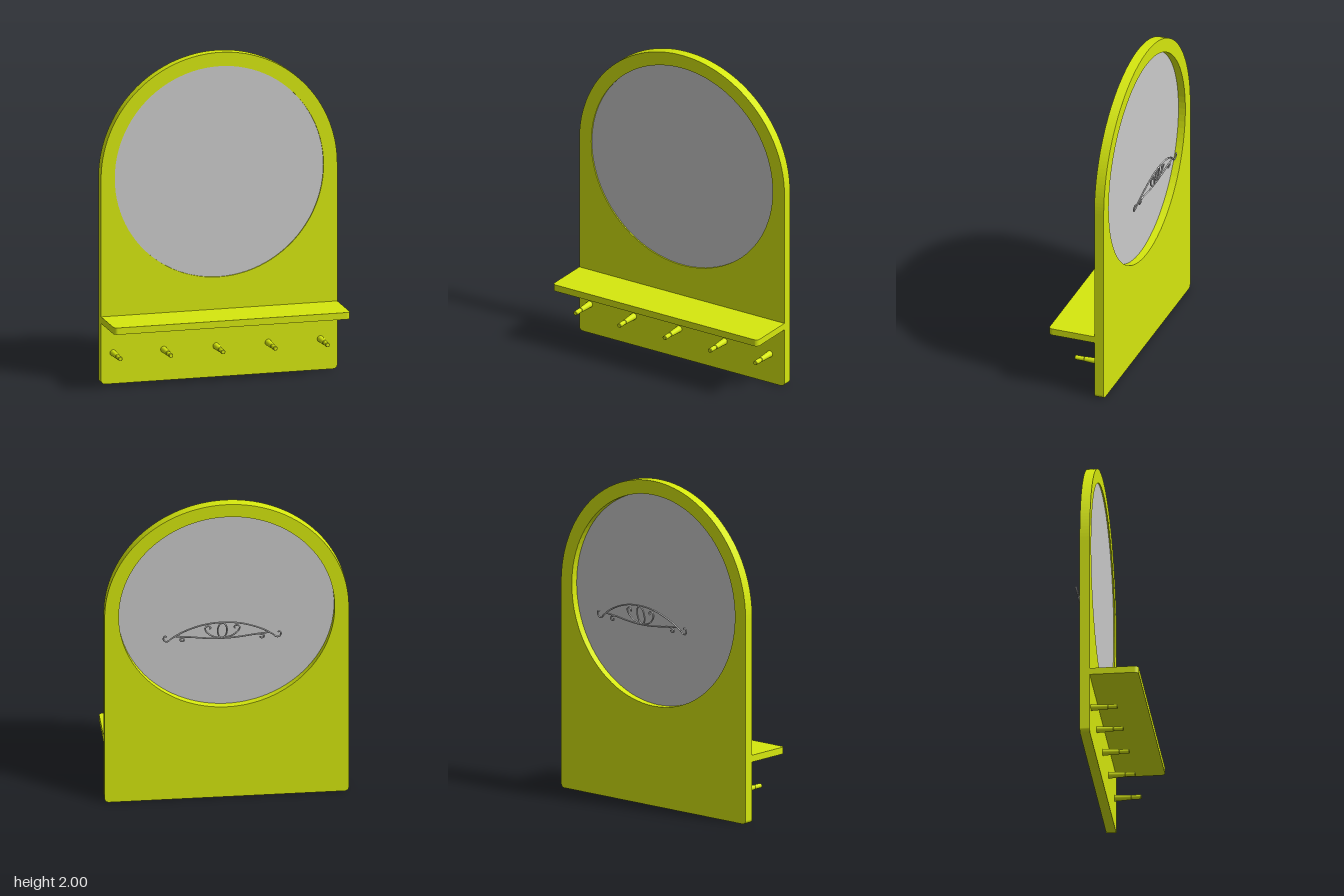
import * as THREE from 'three';

const paint = new THREE.MeshStandardMaterial({ color: 0xd6e80e });
const grey = new THREE.MeshStandardMaterial({ color: 0xcccccc });

const HALF = 0.735, ARCH_Y = 1.265, GLASS_R = 0.65;
const BACK = -0.133, FRONT = -0.073;

function add(parent, name, geometry, material) {
  const mesh = new THREE.Mesh(geometry, material);
  mesh.name = name;
  parent.add(mesh);
  return mesh;
}

// Arched board with rounded bottom corners and a round opening
function boardGeometry() {
  const r = 0.025;
  const s = new THREE.Shape();
  s.moveTo(-HALF + r, 0);
  s.lineTo(HALF - r, 0);
  s.absarc(HALF - r, r, r, -Math.PI / 2, 0, false);
  s.lineTo(HALF, ARCH_Y);
  s.absarc(0, ARCH_Y, HALF, 0, Math.PI, false);
  s.lineTo(-HALF, r);
  s.absarc(-HALF + r, r, r, Math.PI, Math.PI * 1.5, false);
  const hole = new THREE.Path();
  hole.absarc(0, ARCH_Y, GLASS_R, 0, Math.PI * 2, true);
  s.holes.push(hole);
  return new THREE.ExtrudeGeometry(s, { depth: FRONT - BACK, bevelEnabled: false, curveSegments: 48 });
}

// Shelf outline seen from above, with rounded front corners
function shelfGeometry() {
  const r = 0.025, d = 0.294;
  const s = new THREE.Shape();
  s.moveTo(-HALF, 0);
  s.lineTo(-HALF, -d + r);
  s.absarc(-HALF + r, -d + r, r, Math.PI, Math.PI * 1.5, false);
  s.lineTo(HALF - r, -d);
  s.absarc(HALF - r, -d + r, r, -Math.PI / 2, 0, false);
  s.lineTo(HALF, 0);
  return new THREE.ExtrudeGeometry(s, { depth: 0.042, bevelEnabled: false, curveSegments: 8 }).rotateX(-Math.PI / 2);
}

// Turned peg: tapered shank, narrow neck, slim tip
function pegGeometry() {
  const profile = [[0, 0], [0.02, 0], [0.015, 0.1], [0.012, 0.103], [0.014, 0.106], [0.014, 0.158], [0.011, 0.162], [0, 0.162]]
    .map(([x, y]) => new THREE.Vector2(x, y));
  // Repeating the corner points keeps the edges crisp
  const crisp = profile.flatMap((p, i) => (i > 0 && i < profile.length - 1 ? [p, p.clone()] : [p]));
  return new THREE.LatheGeometry(crisp, 20).rotateX(Math.PI / 2);
}

// Wrought scrollwork drawn flat, half of it mirrored
function createScrollwork() {
  const g = new THREE.Group();
  g.name = 'scrollwork';
  const wire = (name, pts, side = 1, closed = false) => {
    const curve = new THREE.CatmullRomCurve3(pts.map(([x, y]) => new THREE.Vector3(x * side, y, 0)), closed);
    add(g, name, new THREE.TubeGeometry(curve, pts.length * 8, 0.005, 8, closed), grey);
  };
  wire('upperArc', [[-0.31, 0.025], [-0.24, 0.075], [-0.12, 0.125], [0, 0.14], [0.12, 0.125], [0.24, 0.075], [0.31, 0.025]]);
  wire('lowerArc', [[-0.285, 0.045], [-0.2, 0.035], [-0.1, 0.02], [0, 0.014], [0.1, 0.02], [0.2, 0.035], [0.285, 0.045]]);
  const oval = [];
  for (let i = 0; i < 16; i++) {
    const a = (i / 16) * Math.PI * 2;
    oval.push([0.028 * Math.cos(a), 0.077 + 0.058 * Math.sin(a)]);
  }
  wire('centreOval', oval, 1, true);
  for (const side of [-1, 1]) {
    wire('endHook', [[0.31, 0.025], [0.325, 0.008], [0.343, 0.008], [0.354, 0.028], [0.346, 0.048], [0.334, 0.044]], side);
    wire('lowerCurl', [[0.19, 0.036], [0.225, 0.034], [0.252, 0.022], [0.248, 0.006], [0.231, 0.006], [0.229, 0.02]], side);
    wire('innerCurl', [[0.015, 0.018], [0.06, 0.034], [0.096, 0.07], [0.104, 0.1], [0.088, 0.114], [0.071, 0.103], [0.077, 0.09]], side);
  }
  return g;
}

export function createModel() {
  const root = new THREE.Group();
  root.name = 'shelfMirror';

  // Board, glass, shelf and pegs share a very slight turn
  const body = new THREE.Group();
  body.name = 'body';
  body.rotation.y = 0.0045;
  root.add(body);

  add(body, 'board', boardGeometry(), paint).position.z = BACK;

  const glass = add(body, 'mirrorGlass', new THREE.CylinderGeometry(GLASS_R, GLASS_R, 0.008, 96), grey);
  glass.rotation.x = Math.PI / 2;
  glass.position.set(0, ARCH_Y, FRONT - 0.012);

  add(body, 'shelf', shelfGeometry(), paint).position.set(0, 0.375, FRONT);

  const peg = pegGeometry();
  for (const x of [-0.66, -0.345, -0.02, 0.305, 0.63]) {
    add(body, 'peg', peg, paint).position.set(x, 0.19, FRONT);
  }

  // Scrollwork floats behind the glass, leaning back
  const scroll = createScrollwork();
  scroll.position.set(0.033, 1.108, -0.191);
  scroll.rotation.x = -0.22;
  root.add(scroll);

  return root;
}
